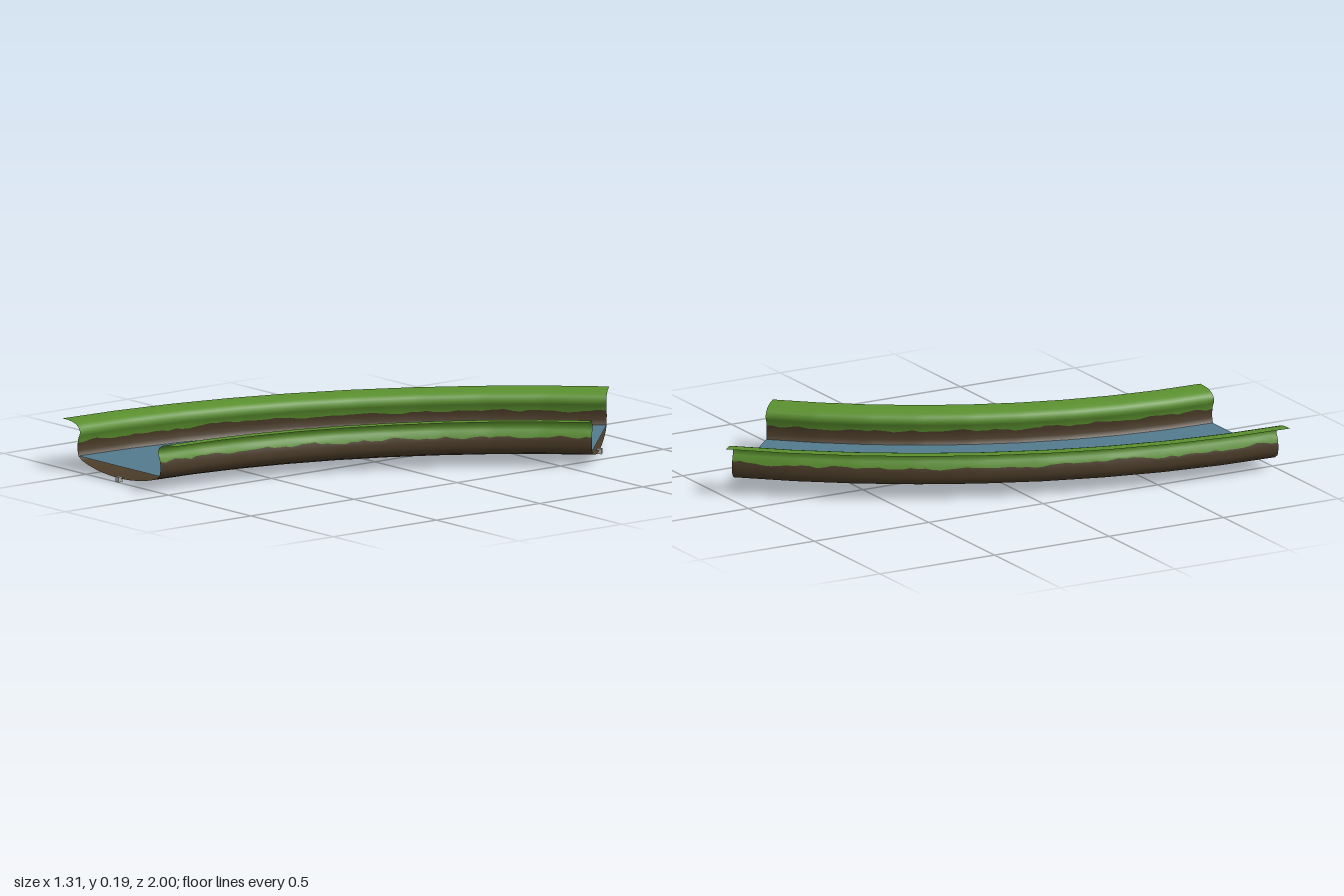
import * as THREE from 'three';

const CX = 2.1615, CZ = 0.99, RC = 2.474;   // bend centre and centre-line radius
const SWEEP = Math.PI / 4, FACETS = 9, FINE = 8;
const STEPS = FACETS * FINE;

// Half cross-section, from the lip of the bank to the middle of the bed: [offset, height]
const HALF = [
  [0.342, 0.19], [0.315, 0.1895], [0.285, 0.187], [0.26, 0.18], [0.244, 0.169], [0.236, 0.154],
  [0.24, 0.139], [0.246, 0.13], [0.249, 0.115], [0.252, 0.1], [0.251, 0.08], [0.246, 0.06],
  [0.225, 0.046], [0.185, 0.034], [0.13, 0.023], [0.065, 0.016], [0, 0.013],
];
const GRASS_EDGE = 8;                        // row where grass meets earth

function seeded(seed) {
  return () => {
    seed = (seed * 16807) % 2147483647;
    return seed / 2147483647;
  };
}

// Point on the faceted bend: offset u from the centre line (outward positive), step i
function onBend(u, y, i) {
  const f = Math.min(Math.floor(i / FINE), FACETS - 1);
  const t = i / FINE - f;
  const a = (f / FACETS) * SWEEP, b = ((f + 1) / FACETS) * SWEEP, r = RC + u;
  return [
    CX - r * (Math.cos(a) * (1 - t) + Math.cos(b) * t), y,
    CZ - r * (Math.sin(a) * (1 - t) + Math.sin(b) * t),
  ];
}

// Sweeps rows of profile points along the bend; groups = [[firstRow, lastRow, material], ...]
function sweep(rows, groups, rowPoint) {
  const pos = [], index = [], n = STEPS + 1;
  rows.forEach((row, j) => {
    for (let i = 0; i <= STEPS; i++) pos.push(...onBend(...rowPoint(row, j, i), i));
  });
  const geo = new THREE.BufferGeometry();
  for (const [from, to, material] of groups) {
    const start = index.length;
    for (let j = from; j < to; j++) {
      for (let i = 0; i < STEPS; i++) {
        const a = j * n + i, b = a + 1, c = a + n, d = c + 1;
        index.push(a, b, c, b, d, c);
      }
    }
    geo.addGroup(start, index.length - start, material);
  }
  geo.setAttribute('position', new THREE.Float32BufferAttribute(pos, 3));
  geo.setIndex(index);
  geo.computeVertexNormals();
  return geo;
}

export function createModel() {
  const model = new THREE.Group();
  model.name = 'riverBend';
  const mat = (name, color, side = THREE.FrontSide) => {
    const m = new THREE.MeshStandardMaterial({ color, side });
    m.name = name;
    return m;
  };
  const grass = mat('grass green', 0x5a8f2e, THREE.DoubleSide);
  const earth = mat('earth brown', 0x4a3b28, THREE.DoubleSide);
  const water = mat('water blue', 0x527b8d, THREE.DoubleSide);
  const marker = mat('marker grey', 0xb4b4ae);

  // Channel: grassy banks and earth bed, with a ragged grass line on each side
  const rows = [...HALF, ...HALF.slice(0, -1).reverse().map(([u, y]) => [-u, y])];
  const last = rows.length - 1;
  const rand = seeded(4321);
  const ragged = [0, 1].map(() => {
    let drift = 0;
    return Array.from({ length: STEPS + 1 }, () => {
      drift = drift * 0.6 + (rand() - 0.5) * 0.011;
      return THREE.MathUtils.clamp(drift, -0.01, 0.01);
    });
  });
  const channelGeo = sweep(
    rows,
    [[0, GRASS_EDGE, 0], [GRASS_EDGE, last - GRASS_EDGE, 1], [last - GRASS_EDGE, last, 0]],
    ([u, y], j, i) => {
      if (j !== GRASS_EDGE && j !== last - GRASS_EDGE) return [u, y];
      const dy = ragged[j === GRASS_EDGE ? 0 : 1][i];
      return [u - Math.sign(u) * dy * 0.2, y + dy];
    },
  );
  const channel = new THREE.Mesh(channelGeo, [grass, earth]);
  channel.name = 'channel';
  model.add(channel);

  // Flat water surface
  const surface = new THREE.Mesh(
    sweep([[0.246, 0.06], [-0.246, 0.06]], [[0, 1, 0]], (p) => p), [water]);
  surface.name = 'waterSurface';
  model.add(surface);

  // Small connector cube under each end
  for (const [name, step, turn] of [['frontConnector', 0, 0], ['backConnector', STEPS, SWEEP]]) {
    const cube = new THREE.Mesh(new THREE.BoxGeometry(0.02, 0.02, 0.02), marker);
    cube.name = name;
    cube.position.set(...onBend(0, 0.01, step));
    cube.rotation.y = -turn;
    model.add(cube);
  }
  return model;
}
